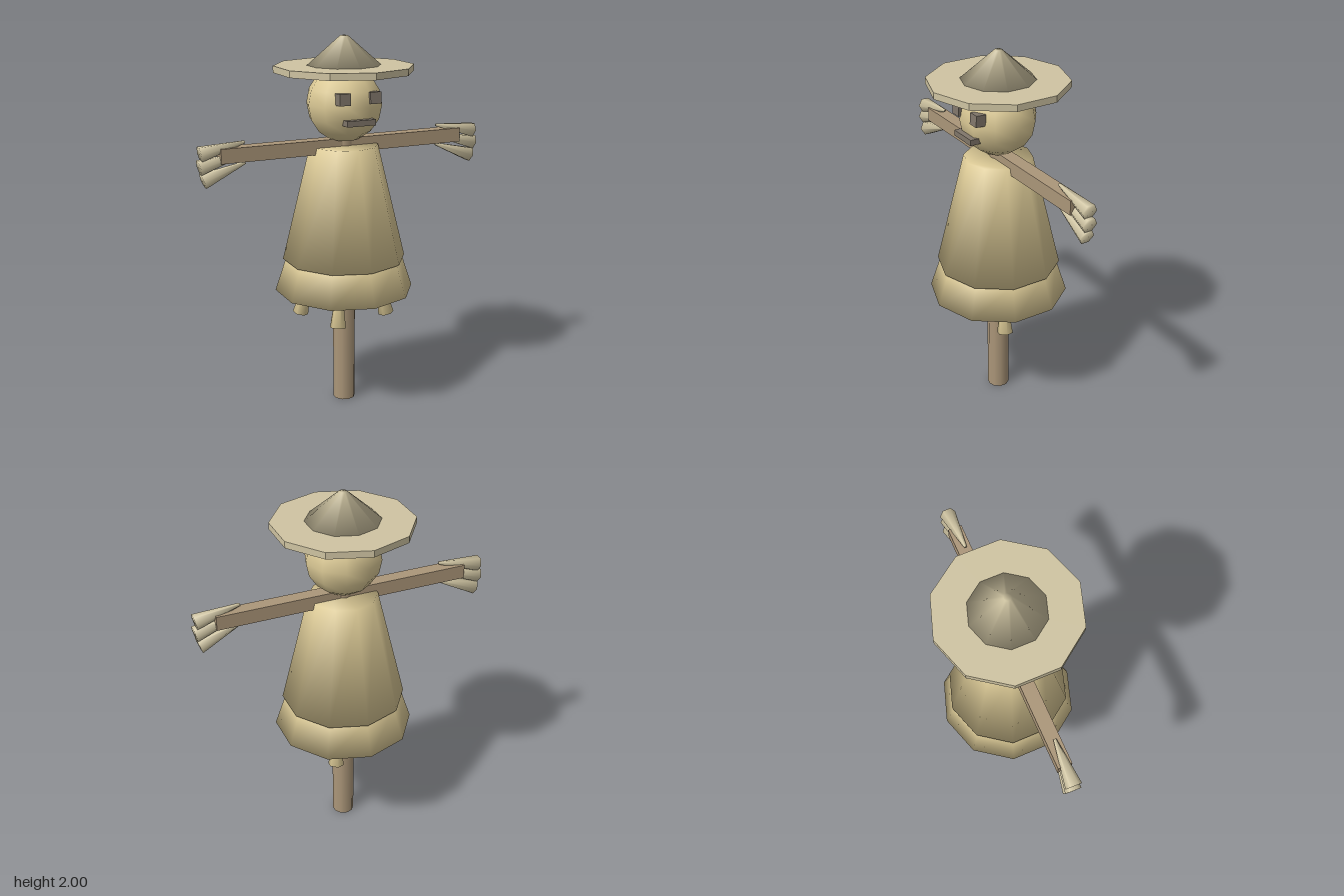
import * as THREE from 'three';

const SIDES = 10;

// Closed tapered solid from y0 to y1 whose rim normals are blended with its caps
function softFrustum(r0, r1, y0, y1, sides = SIDES, tilt = 0.75) {
  const pos = [], nor = [], idx = [];
  for (const [r, y, ny] of [[r0, y0, -tilt], [r1, y1, tilt]]) {
    for (let i = 0; i < sides; i++) {
      const a = (i / sides) * Math.PI * 2;
      const n = new THREE.Vector3(Math.sin(a), ny, Math.cos(a)).normalize();
      pos.push(r * Math.sin(a), y, r * Math.cos(a));
      nor.push(n.x, n.y, n.z);
    }
  }
  for (let i = 0; i < sides; i++) {
    const j = (i + 1) % sides;
    idx.push(i, j, sides + j, i, sides + j, sides + i);
    if (i > 0 && j > 0) idx.push(0, j, i, sides, sides + i, sides + j);
  }
  const geo = new THREE.BufferGeometry();
  geo.setAttribute('position', new THREE.Float32BufferAttribute(pos, 3));
  geo.setAttribute('normal', new THREE.Float32BufferAttribute(nor, 3));
  geo.setIndex(idx);
  return geo;
}

export function createModel() {
  const model = new THREE.Group();
  model.name = 'scarecrow';

  const material = (name, color) => {
    const m = new THREE.MeshStandardMaterial({ color });
    m.name = name;
    return m;
  };
  const cloth = material('straw cloth', 0xdcca96);
  const hatStraw = material('pale straw', 0xcfc4a2);
  const wood = material('wood', 0xab9679);
  const dark = material('dark face', 0x80766a);

  const add = (name, geo, mat, x = 0, y = 0, z = 0) => {
    const mesh = new THREE.Mesh(geo, mat);
    mesh.name = name;
    mesh.position.set(x, y, z);
    model.add(mesh);
    return mesh;
  };

  // Straw bundle, narrow at the root and wide at the end
  const straw = (name, mat, root, end, r0, r1) => {
    const a = new THREE.Vector3(...root), b = new THREE.Vector3(...end);
    const dir = b.clone().sub(a);
    const mesh = add(name, softFrustum(r0, r1, 0, dir.length(), 6, 0.25), mat, ...root);
    mesh.quaternion.setFromUnitVectors(new THREE.Vector3(0, 1, 0), dir.normalize());
  };

  // Wooden frame
  add('pole', new THREE.CylinderGeometry(0.06, 0.06, 0.7, SIDES), wood, 0, 0.35, 0);
  add('neck', new THREE.CylinderGeometry(0.045, 0.045, 0.12, SIDES), wood, 0, 1.44, 0);
  add('armBar', new THREE.BoxGeometry(1.37, 0.075, 0.073), wood, 0, 1.4375, 0);

  // Clothes
  add('coat', softFrustum(0.33, 0.18, 0.82, 1.435), cloth);
  add('skirt', softFrustum(0.373, 0.312, 0.645, 0.83), cloth);

  // Head and face
  add('head', new THREE.SphereGeometry(0.2, SIDES, 8), cloth, 0, 1.653, 0);
  for (const s of [-1, 1]) {
    const eye = add('eye', new THREE.BoxGeometry(0.06, 0.06, 0.055), dark, s * 0.085, 1.7, 0.17);
    eye.rotation.x = -0.06;
  }
  add('mouth', new THREE.BoxGeometry(0.16, 0.03, 0.06), dark, 0, 1.58, 0.18);

  // Hat
  const brim = new THREE.CylinderGeometry(0.365, 0.365, 0.035, SIDES).toNonIndexed();
  brim.computeVertexNormals();
  add('hatBrim', brim, hatStraw, 0, 1.833, 0);
  add('hatCrown', softFrustum(0.195, 0.02, 1.848, 2, SIDES, 0.6), hatStraw);

  // Straw hands, three bundles at each end of the bar
  for (const s of [-1, 1]) {
    for (const [rootY, endX, endY] of [[1.497, 0.785, 1.452], [1.44, 0.79, 1.385], [1.392, 0.773, 1.315]]) {
      straw('handStraw', hatStraw, [s * 0.55, rootY, 0.005], [s * endX, endY, 0], 0.008, 0.042);
    }
  }

  // Straw bundles hanging below the skirt
  for (const [x, z] of [[0.213, 0.09], [-0.12, 0.18], [-0.213, -0.11], [0.12, -0.18]]) {
    straw('hangingStraw', cloth, [x * 0.82, 0.68, z * 0.82], [x, 0.492, z], 0.018, 0.043);
  }

  return model;
}
